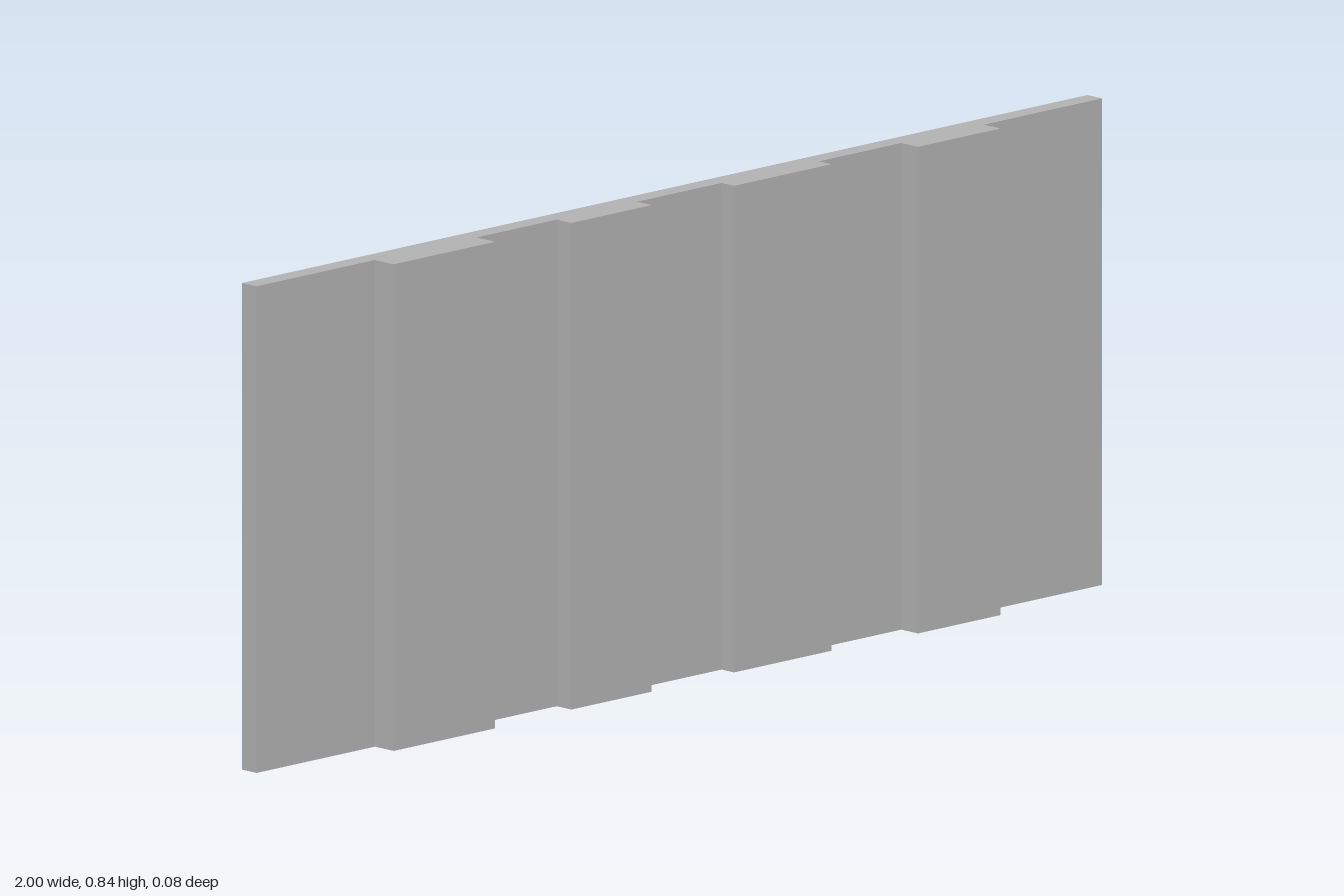
import * as THREE from 'three';

const HEIGHT = 0.84;
const BACK = -0.04;
const FACE = -0.005;

// raised strips: [left edge x, right edge x, front z]
const STRIPS = [
  [-0.72, -0.48, 0.04],
  [-0.29, -0.10, 0.03],
  [0.10, 0.33, 0.025],
  [0.525, 0.72, 0.035],
];

export function createModel() {
  const group = new THREE.Group();
  group.name = 'wallPanel';

  const grey = new THREE.MeshStandardMaterial({ color: 0xb2b2b2 });
  grey.name = 'grey';

  // plan outline, drawn with shape y = -z so it stands upright after rotation
  const outline = new THREE.Shape();
  outline.moveTo(-1, -BACK);
  outline.lineTo(-1, -FACE);
  for (const [x0, x1, front] of STRIPS) {
    outline.lineTo(x0, -FACE);
    outline.lineTo(x0, -front);
    outline.lineTo(x1, -front);
    outline.lineTo(x1, -FACE);
  }
  outline.lineTo(1, -FACE);
  outline.lineTo(1, -BACK);
  outline.closePath();

  // slab and strips as one upright extrusion
  const geometry = new THREE.ExtrudeGeometry(outline, { depth: HEIGHT, bevelEnabled: false });
  geometry.rotateX(-Math.PI / 2);
  const panel = new THREE.Mesh(geometry, grey);
  panel.name = 'ribbedPanel';
  group.add(panel);

  return group;
}
